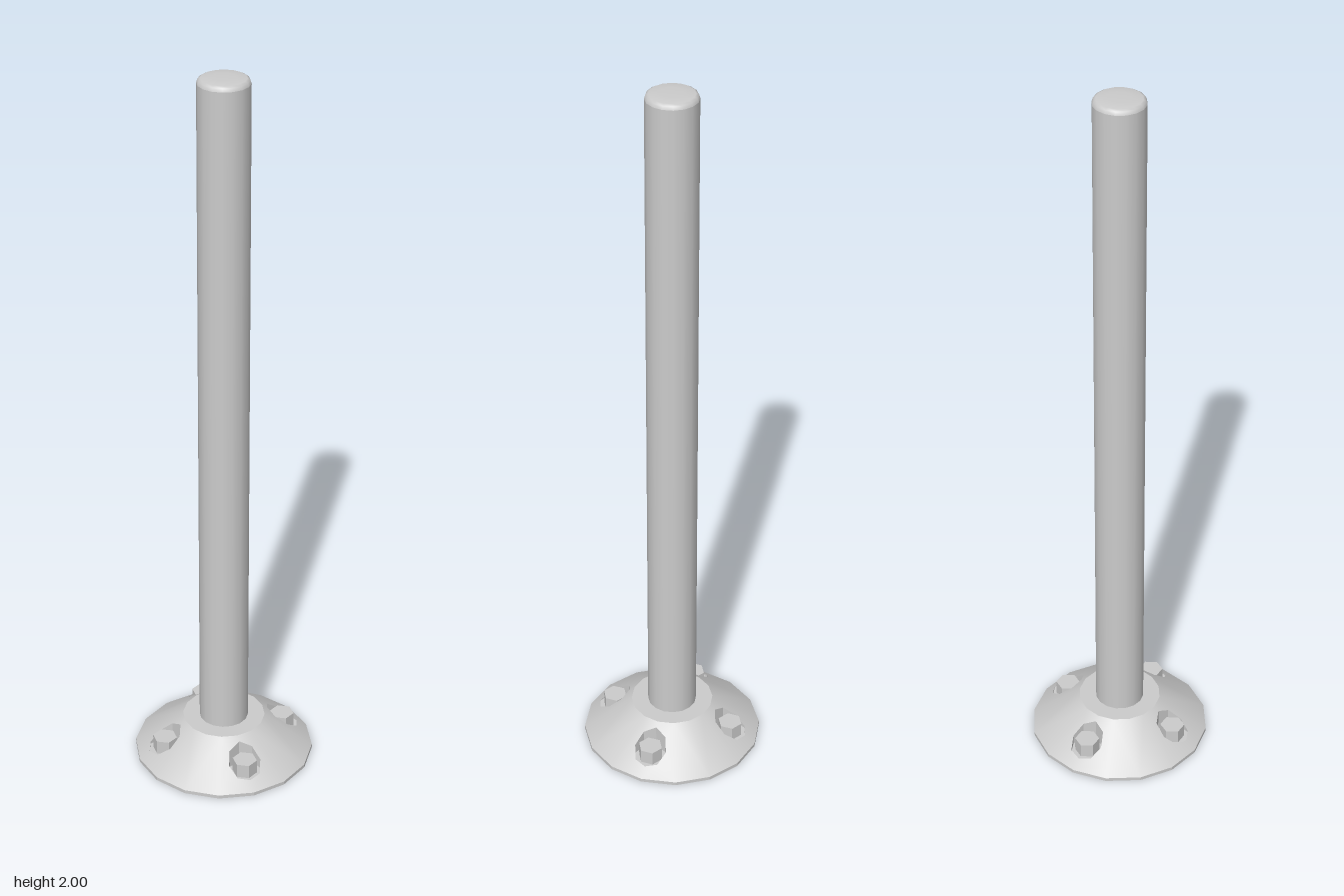
import * as THREE from 'three';

const SIDES = 16, R0 = 0.25, Y0 = 0.01, R1 = 0.115, Y1 = 0.11;
const HOLE_AT = 0.175, HOLE_R = 0.046, FLOOR = 0.03;
const STEP = (Math.PI * 2) / SIDES;

// Height of the sixteen-sided conical flange above a point in plan
function flangeY(x, z) {
  const a = Math.atan2(z, x);
  const mid = (Math.floor(a / STEP + 1e-6) + 0.5) * STEP;
  const r = (x * Math.cos(mid) + z * Math.sin(mid)) / Math.cos(STEP / 2);
  return Y0 + ((R0 - r) / (R0 - R1)) * (Y1 - Y0);
}

const polar = (r, a) => new THREE.Vector2(r * Math.cos(a), r * Math.sin(a));

// Sloping facets: the two beside each quarter axis carry half a bolt hole each
function slopeGeometry() {
  const position = [], normal = [];
  const slope = (Y1 - Y0) / (R0 - R1);
  const plain = [polar(R1, STEP), polar(R0, STEP), polar(R0, 2 * STEP), polar(R1, 2 * STEP)];
  const bitten = [polar(R1, 0)];
  for (let i = 4; i >= 0; i--) {
    bitten.push(polar(HOLE_R, (i * Math.PI) / 4).add(new THREE.Vector2(HOLE_AT, 0)));
  }
  bitten.push(polar(R0, 0), polar(R0, STEP), polar(R1, STEP));

  for (const outline of [plain, bitten]) {
    const faces = THREE.ShapeUtils.triangulateShape(outline, []);
    const heights = outline.map((p) => flangeY(p.x, Math.min(p.y, p.x * Math.tan(STEP * 2) - 1e-7)));
    for (let q = 0; q < 4; q++) for (const m of [1, -1]) {
      const c = Math.cos((q * Math.PI) / 2), s = Math.sin((q * Math.PI) / 2);
      const corners = outline.map((p, i) =>
        new THREE.Vector3(p.x * c - m * p.y * s, heights[i], p.x * s + m * p.y * c));
      for (const f of faces) {
        const [a, b, d] = f.map((i) => corners[i]);
        const up = b.clone().sub(a).cross(d.clone().sub(a)).y > 0;
        for (const v of up ? [a, b, d] : [a, d, b]) {
          const n = new THREE.Vector3(v.x, 0, v.z).normalize().setY(1 / slope).normalize();
          position.push(v.x, v.y, v.z);
          normal.push(n.x, n.y, n.z);
        }
      }
    }
  }
  const g = new THREE.BufferGeometry();
  g.setAttribute('position', new THREE.Float32BufferAttribute(position, 3));
  g.setAttribute('normal', new THREE.Float32BufferAttribute(normal, 3));
  return g;
}

export function createModel() {
  const model = new THREE.Group();
  model.name = 'flangedPost';
  const smooth = new THREE.MeshStandardMaterial({ color: 0xcccccc });
  const flat = new THREE.MeshStandardMaterial({ color: 0xcccccc, flatShading: true });
  const open = new THREE.MeshStandardMaterial({ color: 0xcccccc, flatShading: true, side: THREE.DoubleSide });

  const add = (name, geometry, material, parent = model) => {
    const mesh = new THREE.Mesh(geometry, material);
    mesh.name = name;
    parent.add(mesh);
    return mesh;
  };
  const lathe = (points) =>
    new THREE.LatheGeometry(points.map(([x, y]) => new THREE.Vector2(x, y)), SIDES);

  // Post with a softly rounded cap
  add('post', lathe([[0.068, 0.02], [0.068, 1.985]]), smooth);
  add('postCap', lathe([[0.068, 1.985], [0.065, 1.994], [0.058, 1.998], [0.03, 2], [0, 2]]), smooth);

  // Flange: underside with rim, slope and flat top ring
  const flange = new THREE.Group();
  flange.name = 'flange';
  model.add(flange);
  add('flangeBottom', lathe([[0, 0], [R0, 0], [R0, Y0]]), flat, flange);
  add('flangeSlope', slopeGeometry(), smooth, flange);
  add('flangeTop', lathe([[R1, Y1], [0.06, Y1]]), flat, flange);

  // Four bolt recesses with hexagonal bolt heads
  for (const [dx, dz] of [[1, 0], [-1, 0], [0, 1], [0, -1]]) {
    const x = dx * HOLE_AT, z = dz * HOLE_AT;
    const wall = new THREE.CylinderGeometry(HOLE_R, HOLE_R, 1, 8, 1, true);
    wall.translate(x, 0, z);
    const p = wall.attributes.position;
    for (let i = 0; i < p.count; i++) {
      p.setY(i, p.getY(i) > 0 ? flangeY(p.getX(i), p.getZ(i)) : FLOOR);
    }
    add('recessWall', wall, open);

    const floor = new THREE.CircleGeometry(HOLE_R, 8);
    floor.rotateX(-Math.PI / 2);
    add('recessFloor', floor, flat).position.set(x, FLOOR, z);

    const bolt = new THREE.CylinderGeometry(0.034, 0.034, 0.042, 6);
    add('boltHead', bolt, flat).position.set(x, FLOOR + 0.02, z);
  }
  return model;
}
